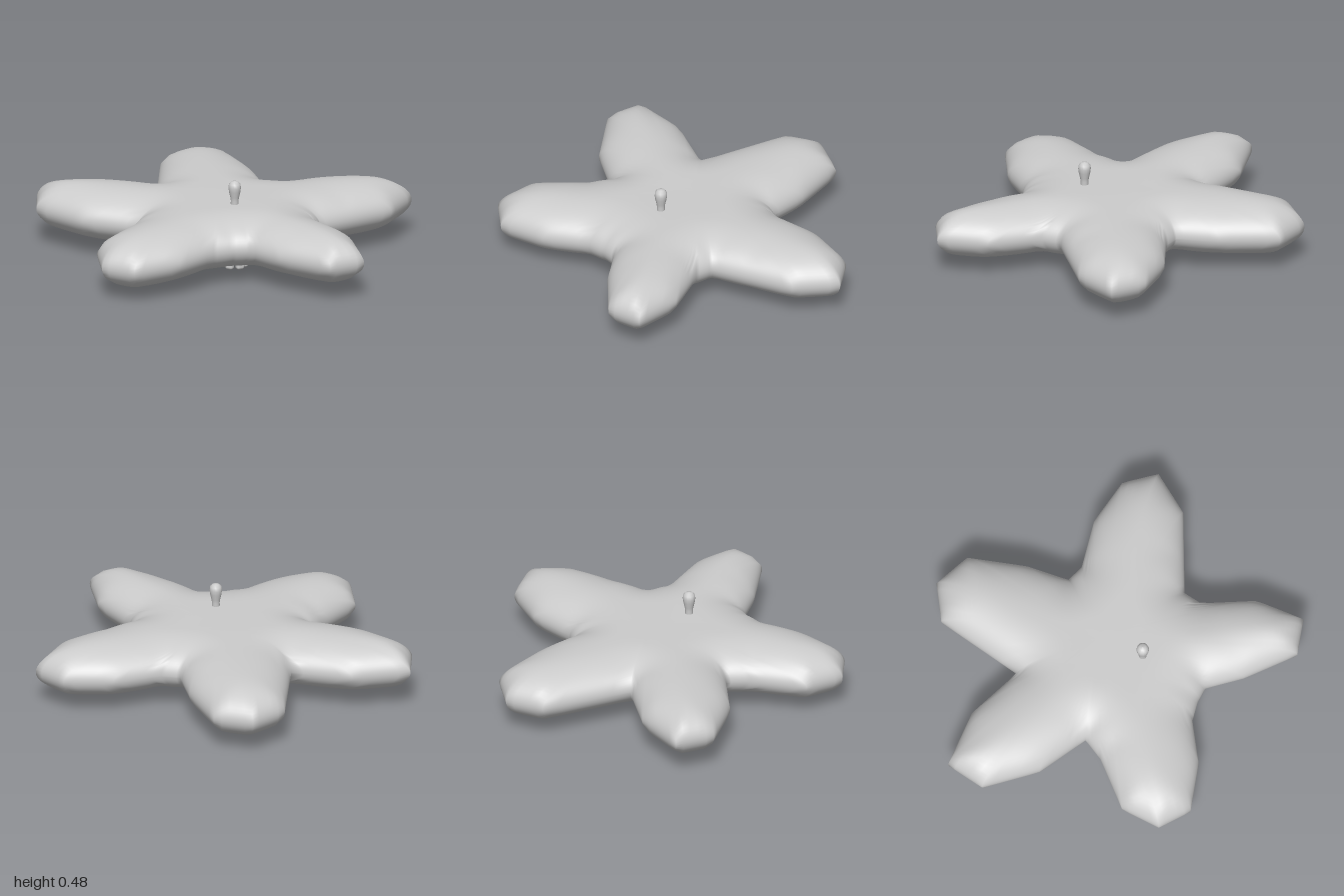
import * as THREE from 'three';
import { RoundedBoxGeometry } from 'three/addons/geometries/RoundedBoxGeometry.js';

// Five-armed outline as [x, z], clockwise seen from above
const OUTLINE = [
  [-0.36, -0.28], [-0.335, -0.78], [-0.17, -0.92], [0.04, -0.865], [0.175, -0.57],
  [0.23, -0.345], [0.33, -0.325], [0.585, -0.415], [0.85, -0.41], [1, -0.275],
  [0.89, -0.045], [0.67, 0.105], [0.51, 0.215], [0.51, 0.32], [0.685, 0.56],
  [0.735, 0.825], [0.555, 0.905], [0.29, 0.74], [0.13, 0.6], [0.04, 0.61],
  [-0.065, 0.645], [-0.245, 0.805], [-0.49, 0.915], [-0.66, 0.825], [-0.685, 0.605],
  [-0.515, 0.355], [-0.47, 0.23], [-0.755, 0.125], [-1, -0.08], [-0.995, -0.3],
  [-0.685, -0.355],
].map(([x, z]) => new THREE.Vector2(x, z));

// Arm directions [x, z] with the rise or droop of each arm
const ARMS = [
  [-0.1, -0.99, -0.01], [0.95, -0.3, -0.01], [0.61, 0.79, 0.005],
  [-0.58, 0.82, -0.025], [-0.99, -0.12, 0.015],
];
const MID_Y = 0.204, HALF_THICKNESS = 0.148, ROUNDING = 0.26;

// Softened distance from a point to the outline
function edgeDistance(p) {
  let sum = 0;
  OUTLINE.forEach((a, i) => {
    const e = OUTLINE[(i + 1) % OUTLINE.length].clone().sub(a);
    const q = p.clone().sub(a);
    const t = THREE.MathUtils.clamp(q.dot(e) / e.lengthSq(), 0, 1);
    sum += Math.max(q.addScaledVector(e, -t).length(), 1e-4) ** -8;
  });
  return sum ** (-1 / 8);
}

// Height of the middle plane, following the tilt of the nearest arm
function midHeight(p) {
  return ARMS.reduce((y, [x, z, rise]) => y + rise * Math.max(p.x * x + p.y * z, 0) ** 2, MID_Y);
}

// Rings run from the top centre over the rim to the bottom centre
function bodyGeometry() {
  const steps = 5, rings = 24, rim = [];
  OUTLINE.forEach((a, i) => {
    const b = OUTLINE[(i + 1) % OUTLINE.length];
    for (let s = 0; s < steps; s++) rim.push(a.clone().lerp(b, s / steps));
  });
  const n = rim.length, positions = [], index = [];
  for (let k = 0; k <= 2 * rings; k++) {
    const t = Math.sin((Math.PI * k) / (2 * rings));
    for (const r of rim) {
      const p = r.clone().multiplyScalar(t);
      const u = 1 - Math.min(edgeDistance(p) / ROUNDING, 1);
      const h = k === rings ? 0 : HALF_THICKNESS * Math.sqrt(1 - u * u);
      // The underside is slightly hollow around the middle
      const hollow = k > rings ? 0.02 * Math.exp(-p.lengthSq() / 0.12) : 0;
      positions.push(p.x, midHeight(p) + Math.sign(rings - k) * h + hollow, p.y);
    }
  }
  for (let k = 0; k < 2 * rings; k++) {
    for (let j = 0; j < n; j++) {
      const a = k * n + j, d = k * n + ((j + 1) % n), b = a + n, c = d + n;
      if (k < 2 * rings - 1) index.push(a, c, b);
      if (k > 0) index.push(a, d, c);
    }
  }
  const g = new THREE.BufferGeometry();
  g.setAttribute('position', new THREE.Float32BufferAttribute(positions, 3));
  g.setIndex(index);
  g.computeVertexNormals();
  return g;
}

export function createModel() {
  const model = new THREE.Group();
  const material = new THREE.MeshStandardMaterial({ color: 0xcccccc });
  const add = (name, geometry, parent) => {
    const mesh = new THREE.Mesh(geometry, material);
    mesh.name = name;
    parent.add(mesh);
    return mesh;
  };

  add('starBody', bodyGeometry(), model);

  // Pin through the body with a bulb on top, and a clasp of small lobes below
  const fitting = new THREE.Group();
  fitting.name = 'pinAndClasp';
  fitting.position.set(0.052, 0, 0.25);
  model.add(fitting);

  const profile = [
    [0, 0.02], [0.022, 0.02], [0.022, 0.34], [0.021, 0.37], [0.024, 0.39], [0.031, 0.42],
    [0.034, 0.443], [0.031, 0.463], [0.018, 0.475], [0, 0.479],
  ].map(([r, y]) => new THREE.Vector2(r, y));
  add('pin', new THREE.LatheGeometry(profile, 14), fitting);

  const lobe = new RoundedBoxGeometry(0.036, 0.1, 0.046, 2, 0.014);
  const count = 6;
  for (let i = 0; i < count; i++) {
    const a = (i / count) * Math.PI * 2;
    const mesh = add('claspLobe', lobe, fitting);
    mesh.position.set(Math.cos(a) * 0.054, 0.05, Math.sin(a) * 0.054);
    mesh.rotation.y = -a;
  }
  return model;
}
